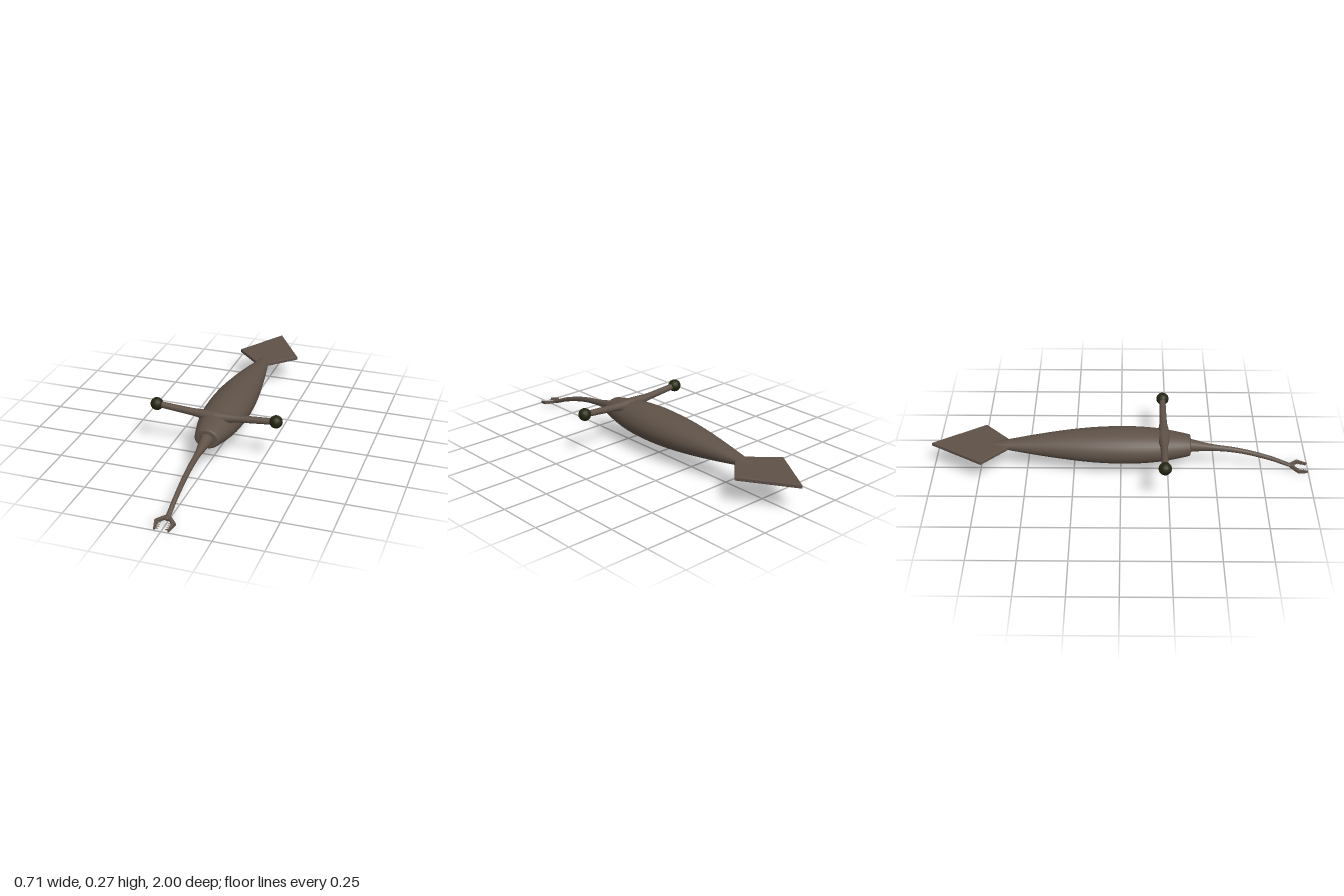
import * as THREE from 'three';

const skin = new THREE.MeshStandardMaterial({ color: 0x5f5248 });
skin.name = 'brown skin';
const eyeDark = new THREE.MeshStandardMaterial({ color: 0x24240f });
eyeDark.name = 'dark olive eye';

// Smooth loft along z through elliptical sections [z, centreY, radiusX, radiusY], back to front
function loft(sections, rings, sides) {
  const centres = new THREE.CatmullRomCurve3(sections.map(s => new THREE.Vector3(0, s[1], s[0])), false, 'catmullrom');
  const radii = new THREE.CatmullRomCurve3(sections.map(s => new THREE.Vector3(s[2], s[3], 0)), false, 'catmullrom');
  const pos = [], index = [];
  for (let i = 0; i <= rings; i++) {
    const c = centres.getPoint(i / rings), r = radii.getPoint(i / rings);
    for (let j = 0; j < sides; j++) {
      const a = (j / sides) * Math.PI * 2;
      pos.push(r.x * Math.cos(a), c.y + r.y * Math.sin(a), c.z);
      if (i === rings) continue;
      const p = i * sides + j, q = i * sides + (j + 1) % sides;
      index.push(p, q, p + sides, q, q + sides, p + sides);
    }
  }
  const g = new THREE.BufferGeometry();
  g.setAttribute('position', new THREE.Float32BufferAttribute(pos, 3));
  g.setIndex(index);
  g.computeVertexNormals();
  return g;
}

// Flat plate from [x, z] corners, its top at y = 0
function plate(points, depth, bevel = 0) {
  const shape = new THREE.Shape(points.map(p => new THREE.Vector2(p[0], p[1])));
  return new THREE.ExtrudeGeometry(shape, {
    depth, bevelEnabled: bevel > 0, bevelSize: bevel, bevelThickness: bevel, bevelOffset: -bevel, bevelSegments: 2,
  }).rotateX(Math.PI / 2);
}

export function createModel() {
  const model = new THREE.Group();
  const add = (name, geometry, material = skin, parent = model) => {
    const mesh = new THREE.Mesh(geometry, material);
    mesh.name = name;
    parent.add(mesh);
    return mesh;
  };

  // Spindle body with a blunt snout
  add('body', loft([
    [-0.72, 0.153, 0.004, 0.004], [-0.66, 0.153, 0.024, 0.014], [-0.58, 0.153, 0.038, 0.028],
    [-0.45, 0.154, 0.062, 0.050], [-0.3, 0.155, 0.087, 0.071], [-0.15, 0.155, 0.107, 0.085],
    [0, 0.155, 0.115, 0.091], [0.12, 0.155, 0.111, 0.088], [0.22, 0.155, 0.099, 0.079],
    [0.3, 0.155, 0.081, 0.066], [0.35, 0.155, 0.068, 0.056], [0.366, 0.155, 0.061, 0.049],
    [0.368, 0.155, 0.03, 0.03], [0.368, 0.155, 0, 0],
  ], 78, 32));

  // Long drooping proboscis
  add('proboscis', loft([
    [0.34, 0.154, 0.04, 0.038], [0.38, 0.152, 0.033, 0.033], [0.44, 0.145, 0.023, 0.024],
    [0.5, 0.138, 0.016, 0.018], [0.6, 0.125, 0.014, 0.015], [0.7, 0.102, 0.013, 0.014],
    [0.8, 0.07, 0.012, 0.013], [0.86, 0.045, 0.012, 0.012], [0.9, 0.028, 0.013, 0.01],
    [0.925, 0.022, 0.014, 0.008], [0.926, 0.022, 0, 0],
  ], 50, 16));

  // Diamond tail fin
  const tail = add('tailFin', plate(
    [[0, -1], [0.172, -0.725], [0.035, -0.59], [-0.035, -0.59], [-0.172, -0.725]], 0.012, 0.004));
  tail.position.y = 0.159;

  // Claw at the proboscis tip
  const claw = new THREE.Group();
  claw.name = 'claw';
  claw.position.set(0, 0.034, 0.9);
  claw.rotation.x = 0.2;
  model.add(claw);

  for (const s of [1, -1]) {
    const side = s > 0 ? 'left' : 'right';

    // Eye stalk, flaring where it joins the body, and faceted eye
    const root = new THREE.Vector3(0, 0.212, 0.225), tip = new THREE.Vector3(s * 0.32, 0.237, 0.225);
    const dir = tip.clone().sub(root), length = dir.length();
    const profile = [[0.034, 0], [0.027, 0.06], [0.021, 0.1], [0.019, 0.14], [0.016, length]];
    const stalk = add(side + 'EyeStalk', new THREE.LatheGeometry(profile.map(p => new THREE.Vector2(p[0], p[1])), 16));
    stalk.position.copy(root);
    stalk.quaternion.setFromUnitVectors(new THREE.Vector3(0, 1, 0), dir.normalize());
    const eye = add(side + 'Eye', new THREE.IcosahedronGeometry(0.034, 2), eyeDark);
    eye.position.copy(tip);

    // Bent jaw with inward teeth
    add(side + 'Jaw', plate([
      [0, 0.004], [s * 0.014, 0.006], [s * 0.053, 0.045], [s * 0.038, 0.1],
      [s * 0.033, 0.1], [s * 0.036, 0.053], [s * 0.012, 0.028], [0, 0.026],
    ], 0.014), skin, claw);
    for (let i = 0; i < 4; i++) {
      const tooth = add(side + 'Tooth', new THREE.ConeGeometry(0.005, 0.022, 6), skin, claw);
      tooth.position.set(s * (0.028 - 0.001 * i), -0.007, 0.052 + i * 0.013);
      tooth.rotation.z = s * Math.PI / 2;
    }
  }
  return model;
}
